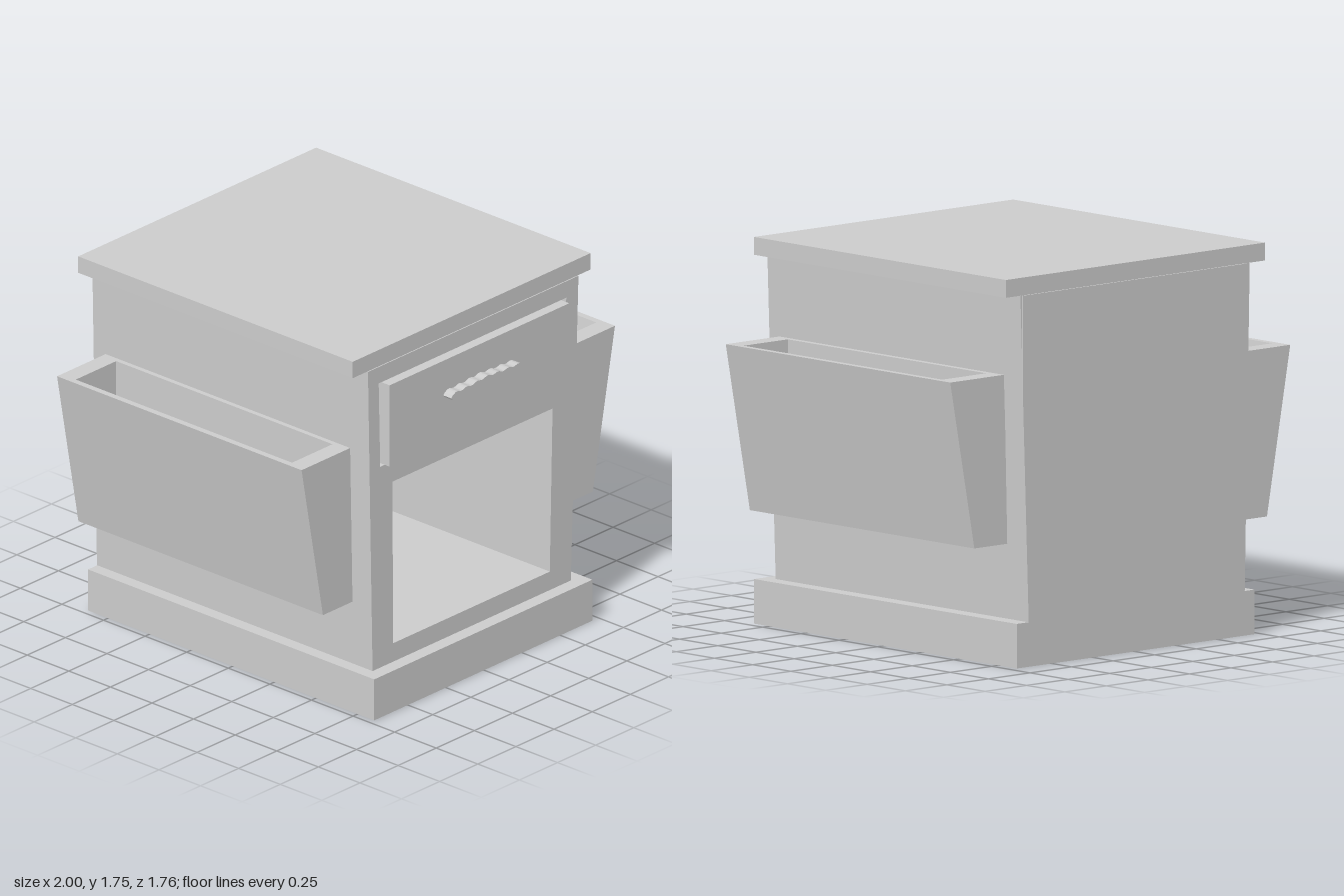
import * as THREE from 'three';

const material = new THREE.MeshStandardMaterial({ color: 0xcccccc, flatShading: true });

function add(parent, name, geometry) {
  const mesh = new THREE.Mesh(geometry, material);
  mesh.name = name;
  parent.add(mesh);
  return mesh;
}

// Box given by its limits on each axis
function box(parent, name, x0, x1, y0, y1, z0, z1) {
  const g = new THREE.BoxGeometry(x1 - x0, y1 - y0, z1 - z0);
  g.translate((x0 + x1) / 2, (y0 + y1) / 2, (z0 + z1) / 2);
  return add(parent, name, g);
}

const outline = (points) => new THREE.Shape(points.map(([x, y]) => new THREE.Vector2(x, y)));

// Front outline extruded from z0 to z1
function slab(parent, name, shape, z0, z1) {
  const g = new THREE.ExtrudeGeometry(shape, { depth: z1 - z0, bevelEnabled: false });
  g.translate(0, 0, z0);
  return add(parent, name, g);
}

// Side pocket with a sloping outer wall: two solid ends and a trough between them
function pocket(parent, name, side, top, bottom, outerBottom, z0, z1) {
  const group = new THREE.Group();
  group.name = name;
  const end = 0.085, wall = 0.03, floor = top - 0.51;
  const rim = [[0.675, top], [1, top], [outerBottom, bottom], [0.657, bottom]];
  const trough = [
    ...rim,
    [0.675 - 0.018 * 0.6, floor],
    [0.875, floor],
    [1 - wall, top],
    [0.675 + wall, top],
    [0.675 + wall, floor],
  ];
  // Cavity is cut out of the trough section
  const section = [
    rim[0], [0.675 + wall, top], [0.675 + wall, floor], [0.875, floor],
    [1 - wall, top], rim[1], rim[2], rim[3],
  ];
  const mirror = (pts) => outline(pts.map(([x, y]) => [side * x, y]));
  slab(group, 'pocketBackEnd', mirror(rim), z0, z0 + end);
  slab(group, 'pocketTrough', mirror(section), z0 + end, z1 - end);
  slab(group, 'pocketFrontEnd', mirror(rim), z1 - end, z1);
  parent.add(group);
}

export function createModel() {
  const model = new THREE.Group();
  model.name = 'nightstand';

  // Plinth and top board
  box(model, 'base', -0.72, 0.71, 0, 0.2, -0.87, 0.85);
  box(model, 'topBoard', -0.785, 0.775, 1.67, 1.75, -0.87, 0.78);

  // Slightly flared carcass with a drawer opening and a lower compartment
  const sides = [[-0.66, 0.2], [0.64, 0.2], [0.69, 1.67], [-0.69, 1.67]];
  const front = outline(sides);
  front.holes.push(
    outline([[-0.525, 0.29], [-0.53, 1.08], [0.52, 1.08], [0.502, 0.29]]),
    outline([[-0.61, 1.18], [-0.62, 1.59], [0.61, 1.59], [0.6, 1.18]]),
  );
  slab(model, 'carcass', front, -0.83, 0.785);
  slab(model, 'backPanel', outline(sides), -0.872, -0.83);
  // Upper back panel sits a little proud of the lower one
  box(model, 'upperBackPanel', -0.67, 0.68, 1.18, 1.67, -0.878, -0.87);

  // Drawer, an open box with a proud front
  const drawer = new THREE.Group();
  drawer.name = 'drawer';
  model.add(drawer);
  box(drawer, 'drawerFront', -0.597, 0.58, 1.19, 1.587, 0.73, 0.83);
  box(drawer, 'drawerBottom', -0.597, 0.58, 1.19, 1.23, -0.75, 0.73);
  box(drawer, 'drawerBack', -0.597, 0.58, 1.23, 1.587, -0.8, -0.75);
  for (const [x0, x1] of [[-0.597, -0.547], [0.53, 0.58]]) {
    box(drawer, 'drawerSide', x0, x1, 1.23, 1.587, -0.75, 0.73);
  }

  // Handle with a scalloped outline
  const upper = [];
  const steps = 48;
  for (let i = 0; i <= steps; i++) {
    const t = (i / steps) * 2 - 1;
    const taper = Math.pow(1 - Math.pow(Math.abs(t), 12), 0.5);
    const swell = 0.02 + 0.008 * Math.exp(-t * t * 8);
    upper.push([-0.007 + 0.238 * t, taper * (swell + 0.004 * Math.cos(t * Math.PI * 7))]);
  }
  const lower = upper.slice(1, -1).reverse().map(([x, y]) => [x, -y]);
  const handle = outline([...upper, ...lower].map(([x, y]) => [x, 1.418 + y]));
  slab(drawer, 'handle', handle, 0.83, 0.878);

  // Magazine pockets on both sides, hung at slightly different heights
  pocket(model, 'leftPocket', 1, 1.3, 0.54, 0.855, -0.75, 0.72);
  pocket(model, 'rightPocket', -1, 1.26, 0.505, 0.86, -0.8, 0.67);

  return model;
}
